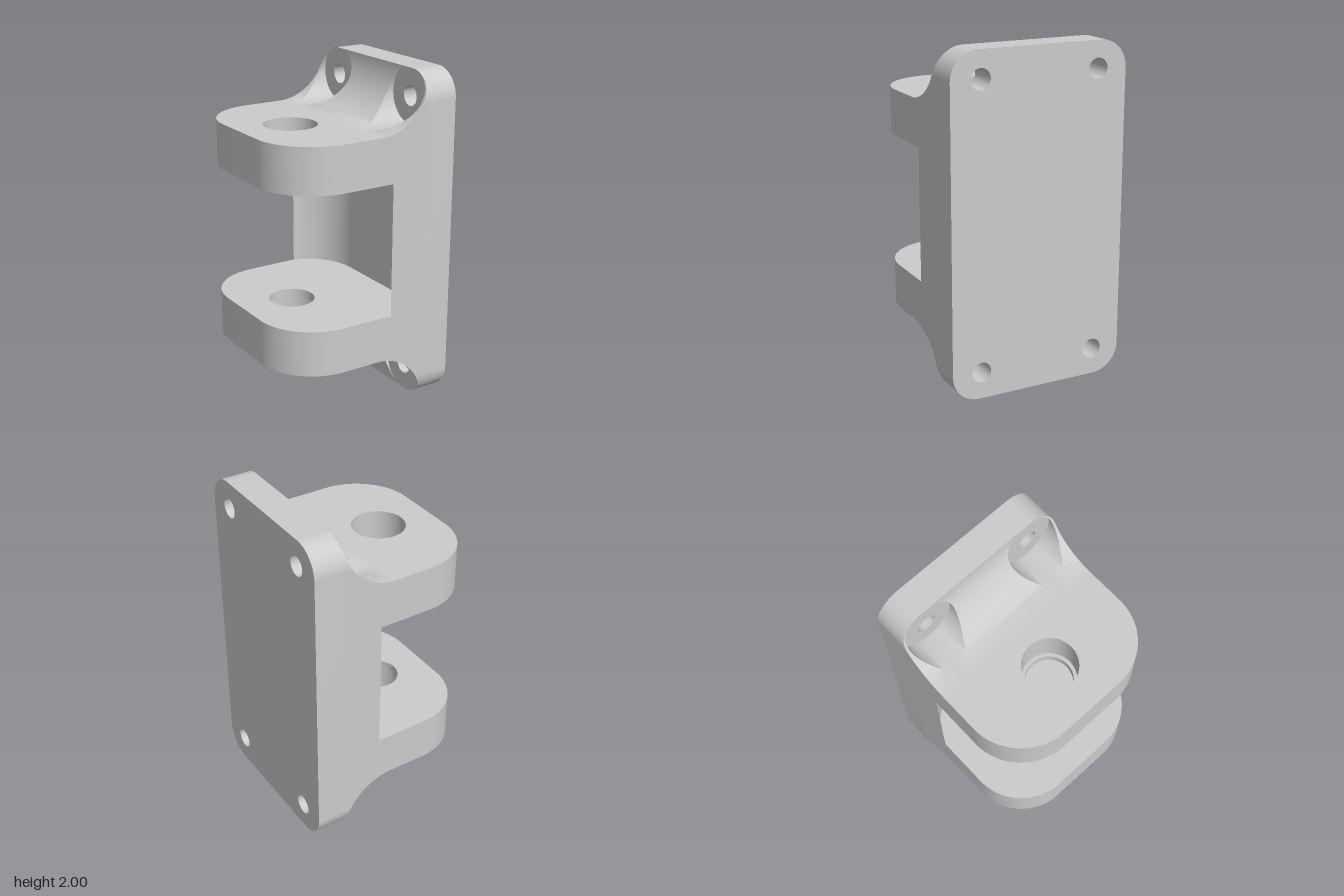
import * as THREE from 'three';
import { toCreasedNormals } from 'three/addons/utils/BufferGeometryUtils.js';

const W = 0.545;                 // half width in z
const FACE = 0.36, BACK = 0.545; // plate faces in x
const ARM_IN = 1.4, ARM_OUT = 1.675;
const CORNER = 0.165;            // plate corner radius
const BOLT = { y: 1.84, z: 0.365, r: 0.06, spot: 0.165 };
const material = new THREE.MeshStandardMaterial({ color: 0xcccccc });

function mesh(name, geometry) {
  const m = new THREE.Mesh(toCreasedNormals(geometry, 0.6), material);
  m.name = name;
  return m;
}

function addHole(shape, x, y, r) {
  shape.holes.push(new THREE.Path().absarc(x, y, r, 0, Math.PI * 2, true));
}

function extrude(shape, depth) {
  return new THREE.ExtrudeGeometry(shape, { depth, bevelEnabled: false, curveSegments: 32 });
}

// Slab drawn in x/z, filling y from bottom to top
function slab(shape, bottom, top) {
  return extrude(shape, top - bottom).rotateX(Math.PI / 2).translate(0, top, 0);
}

// Mounting plate with rounded corners and four bolt holes
function plate() {
  const s = new THREE.Shape();
  const a = W - CORNER, b = 2 - CORNER, q = Math.PI / 2;
  s.absarc(a, b, CORNER, 0, q, false);
  s.absarc(-a, b, CORNER, q, 2 * q, false);
  s.absarc(-a, CORNER, CORNER, 2 * q, 3 * q, false);
  s.absarc(a, CORNER, CORNER, 3 * q, 4 * q, false);
  s.closePath();
  for (const z of [-BOLT.z, BOLT.z])
    for (const y of [BOLT.y, 2 - BOLT.y]) addHole(s, z, y, BOLT.r);
  return mesh('mountingPlate', extrude(s, BACK - FACE).rotateY(Math.PI / 2).translate(FACE, 0, 0));
}

// Arm outline with rounded free end and a pin hole
function armShape(holeRadius) {
  const r = 0.345, x = -W + r, z = W - r;
  const s = new THREE.Shape();
  s.moveTo(FACE, -W);
  s.lineTo(FACE, W);
  s.absarc(x, z, r, Math.PI / 2, Math.PI, false);
  s.absarc(x, -z, r, Math.PI, Math.PI * 1.5, false);
  s.closePath();
  addHole(s, -0.217, 0, holeRadius);
  return s;
}

// Web cheek: flat outside, concave arc towards the pocket
function cheekShape(side) {
  const x0 = 0.125, z0 = 0.24, d = FACE - x0, w = W - z0;
  const r = (w * w + d * d) / (2 * d);
  const s = new THREE.Shape();
  s.moveTo(FACE, W * side);
  s.lineTo(x0, W * side);
  const end = Math.asin(w / r);
  for (let i = 1; i <= 24; i++) {
    const t = end * (1 - i / 24);
    s.lineTo(FACE - r + r * Math.cos(t), side * (z0 + r * Math.sin(t)));
  }
  s.closePath();
  return s;
}

// One band of the root fillet, lofted up in y between two z limits
function filletBand(zMin, zMax) {
  const rows = 56, R = 2 - ARM_OUT, pos = [];
  const rings = [];
  for (let i = 0; i <= rows; i++) {
    const t = (i / rows) * Math.PI / 2;
    const y = 2 - R * Math.cos(t), x = FACE - R + R * Math.sin(t);
    const a = zMin(y), b = Math.max(a, zMax(y));
    rings.push([[FACE, y, a], [x, y, a], [x, y, b], [FACE, y, b]]);
  }
  for (let i = 0; i < rows; i++)
    for (let k = 0; k < 3; k++) {
      const p = rings[i], q = rings[i + 1];
      pos.push(...p[k], ...p[k + 1], ...q[k + 1], ...p[k], ...q[k + 1], ...q[k]);
    }
  const g = new THREE.BufferGeometry();
  g.setAttribute('position', new THREE.Float32BufferAttribute(pos, 3));
  g.computeVertexNormals();
  return g;
}

// Arm, its bore lip and the root fillet with bolt-head clearances
function armAssembly(name) {
  const g = new THREE.Group();
  g.name = name;
  const lipTop = ARM_IN + 0.05;
  g.add(mesh('boreLip', slab(armShape(0.1375), ARM_IN, lipTop)));
  g.add(mesh('arm', slab(armShape(0.158), lipTop, ARM_OUT)));

  const half = y => Math.sqrt(Math.max(0, BOLT.spot ** 2 - (y - BOLT.y) ** 2));
  const inner = y => BOLT.z - half(y);
  const outer = y => BOLT.z + half(y);
  const edge = y => {
    const h = Math.max(0, y - (2 - CORNER));
    return W - CORNER + Math.sqrt(Math.max(0, CORNER ** 2 - h * h));
  };
  g.add(mesh('middleFillet', filletBand(y => -inner(y), inner)));
  g.add(mesh('leftFillet', filletBand(outer, edge)));
  g.add(mesh('rightFillet', filletBand(y => -Math.max(edge(y), outer(y)), y => -outer(y))));
  return g;
}

export function createModel() {
  const model = new THREE.Group();
  model.name = 'clevisBracket';
  model.add(plate());
  for (const side of [1, -1])
    model.add(mesh('webCheek', slab(cheekShape(side), 2 - ARM_IN, ARM_IN)));

  model.add(armAssembly('upperArm'));
  const lower = armAssembly('lowerArm');
  lower.rotation.x = Math.PI;
  lower.position.y = 2;
  model.add(lower);
  return model;
}
